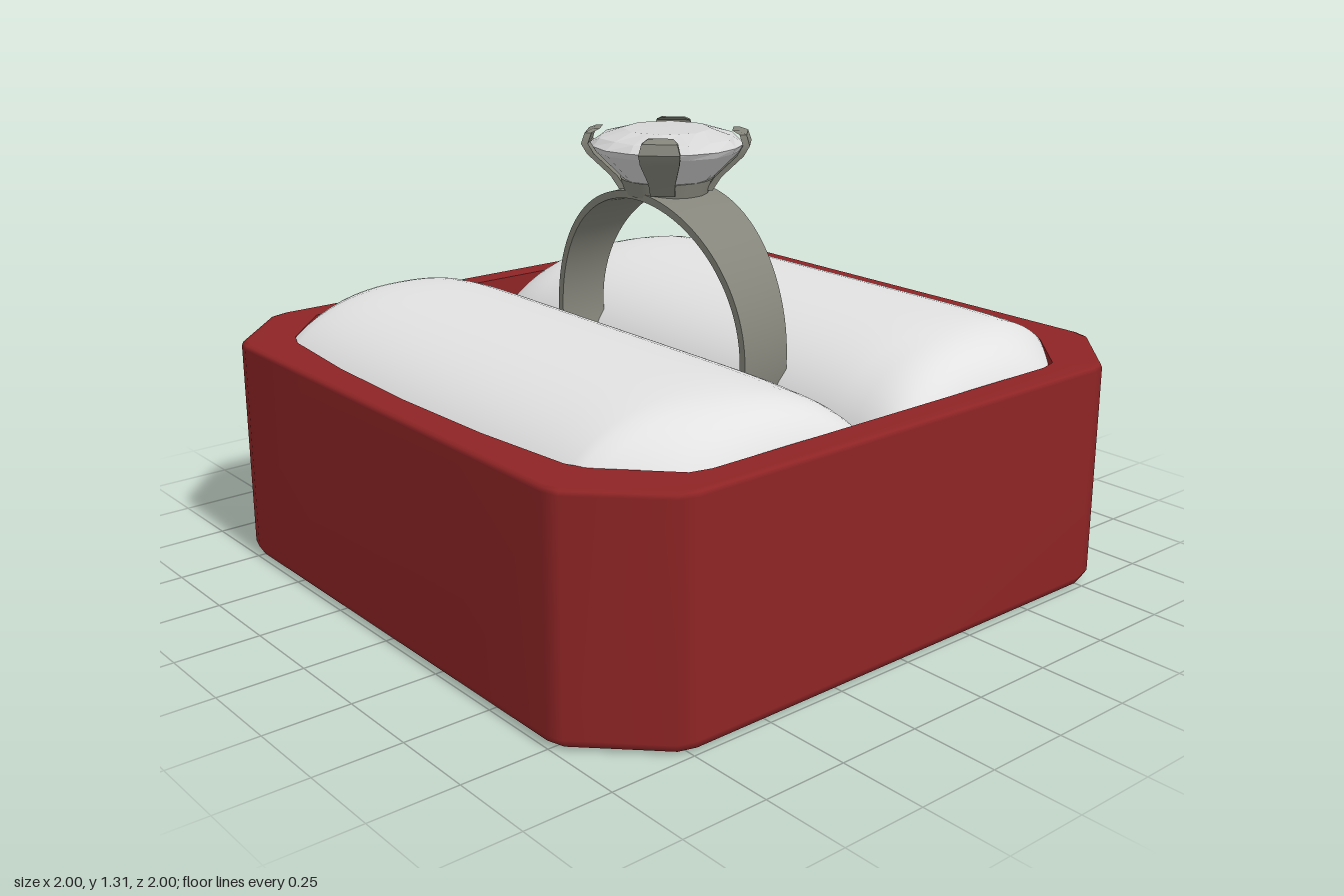
import * as THREE from 'three';
import { toCreasedNormals } from 'three/addons/utils/BufferGeometryUtils.js';

const paint = (name, color, side = THREE.FrontSide) => {
  const m = new THREE.MeshStandardMaterial({ color, side });
  m.name = name;
  return m;
};

// Skin a list of cross-sections, each a list of [x, y, z] points
function loft(rings, closed = true) {
  const n = rings[0].length, index = [];
  for (let i = 0; i < rings.length - 1; i++) {
    for (let j = 0; j < (closed ? n : n - 1); j++) {
      const k = (j + 1) % n;
      const a = i * n + j, b = i * n + k, c = a + n, d = b + n;
      index.push(a, c, b, b, c, d);
    }
  }
  const g = new THREE.BufferGeometry();
  g.setAttribute('position', new THREE.Float32BufferAttribute(rings.flat(2), 3));
  g.setIndex(index);
  g.computeVertexNormals();
  return g;
}

// Mirror a quarter outline [x, z] (from +x to +z) into a whole one
function mirrorQuarter(q) {
  const half = [...q, ...q.slice(0, -1).reverse().map(([x, z]) => [-x, z])];
  return [...half, ...half.slice(1, -1).reverse().map(([x, z]) => [x, -z])];
}

const outer = mirrorQuarter([[1, 0], [1, 0.74], [0.985, 0.79], [0.79, 0.985], [0.74, 1], [0.4, 1], [0, 1]]);
const opening = mirrorQuarter([[0.91, 0], [0.91, 0.62], [0.895, 0.68], [0.72, 0.845], [0.66, 0.87], [0.35, 0.9], [0, 0.91]]);
const level = (outline, y, s = 1) => outline.map(([x, z]) => [x * s, y, z * s]);

// Puffy cushion half, spanning z = 0 to 0.95
function cushionGeometry() {
  const rings = [], nx = 56, nz = 32;
  for (let i = 0; i <= nx; i++) {
    const u = Math.sin((i / nx - 0.5) * Math.PI);
    const x = -0.95 * u;
    const depth = Math.min(0.95, 1.66 - Math.abs(x));
    const rise = 0.34 * Math.pow(Math.max(0, 1 - Math.pow(Math.abs(u), 10)), 0.45);
    const ring = [];
    for (let j = 0; j <= nz; j++) {
      const s = Math.sin((j / nz - 0.5) * Math.PI);
      const h = Math.pow(Math.max(0, 1 - Math.pow(Math.abs(s), 2.3)), 1 / 2.3);
      ring.push([x, 0.45 + rise * h, depth * (s + 1) / 2]);
    }
    rings.push(ring);
  }
  return loft(rings, false);
}

// Ring band, widening toward the top
function bandGeometry() {
  const rings = [], n = 96;
  for (let i = 0; i <= n; i++) {
    const t = (i / n) * Math.PI * 2, up = Math.max(0, Math.sin(t));
    const w = 0.08 + 0.038 * up * up;
    const section = [[0.432, -w], [0.438, 0], [0.432, w], [0.41, w], [0.406, 0], [0.41, -w]];
    rings.push(section.map(([r, z]) => [r * Math.cos(t), 0.7 + r * Math.sin(t), z]));
  }
  return toCreasedNormals(loft(rings), 0.7);
}

// Claw that follows the side of the gem and folds over its edge
function prongGeometry() {
  const path = [[0.115, 1.13, 0.035], [0.14, 1.17, 0.038], [0.205, 1.235, 0.055], [0.222, 1.265, 0.058], [0.212, 1.295, 0.05], [0.19, 1.305, 0.035]];
  const rings = path.map(([r, y, w]) => [[r + 0.02, y, -w], [r + 0.02, y, w], [r, y, w], [r, y, -w]]);
  const point = ([r, y]) => Array.from({ length: 4 }, () => [r + 0.01, y, 0]);
  return toCreasedNormals(loft([point(path[0]), ...rings, point(path[5])]), 0.7);
}

// Faceted round gem; alternate radii make the star facets
function gemGeometry() {
  const levels = [[0, 0, 1.12], [0.11, 0.105, 1.14], [0.216, 0.21, 1.245], [0.224, 0.221, 1.262], [0.19, 0.2, 1.284], [0.13, 0.12, 1.305], [0, 0, 1.307]];
  const rings = levels.map(([a, b, y]) => Array.from({ length: 16 }, (_, j) => {
    const t = (j / 16) * Math.PI * 2, r = j % 2 ? b : a;
    return [r * Math.cos(t), y, r * Math.sin(t)];
  }));
  const g = loft(rings).toNonIndexed();
  g.computeVertexNormals();
  return g;
}

export function createModel() {
  const red = paint('box red', 0x8e2425);
  const white = paint('cushion white', 0xe2e2e2, THREE.DoubleSide);
  const metal = paint('ring metal', 0x85857b);
  const crystal = paint('gem crystal', 0xd6d6d6);

  const model = new THREE.Group();
  model.name = 'ringBox';
  const add = (name, geometry, material, parent = model) => {
    const mesh = new THREE.Mesh(geometry, material);
    mesh.name = name;
    parent.add(mesh);
    return mesh;
  };

  // Box with softened edges, and the lining of its opening
  add('boxShell', loft([
    level(outer, 0, 0), level(outer, 0, 0.965), level(outer, 0.01, 0.987), level(outer, 0.035),
    level(outer, 0.66), level(outer, 0.671, 0.996), level(outer, 0.675, 0.985), level(opening, 0.675),
  ]), red);
  add('boxLining', toCreasedNormals(loft([
    level(opening, 0.675), level(opening, 0.44), level(opening, 0.44, 0),
  ]), 0.7), red);

  // Two cushions meeting in the middle
  const cushion = cushionGeometry();
  add('frontCushion', cushion, white);
  add('backCushion', cushion, white).rotation.y = Math.PI;

  // Ring
  const ring = new THREE.Group();
  ring.name = 'ring';
  model.add(ring);
  add('band', bandGeometry(), metal, ring);
  add('collar', new THREE.CylinderGeometry(0.135, 0.122, 0.045, 24), metal, ring).position.y = 1.14;
  add('gem', gemGeometry(), crystal, ring);
  const prong = prongGeometry();
  for (let i = 0; i < 4; i++) {
    add('prong', prong, metal, ring).rotation.y = Math.PI / 4 + i * Math.PI / 2;
  }
  return model;
}
